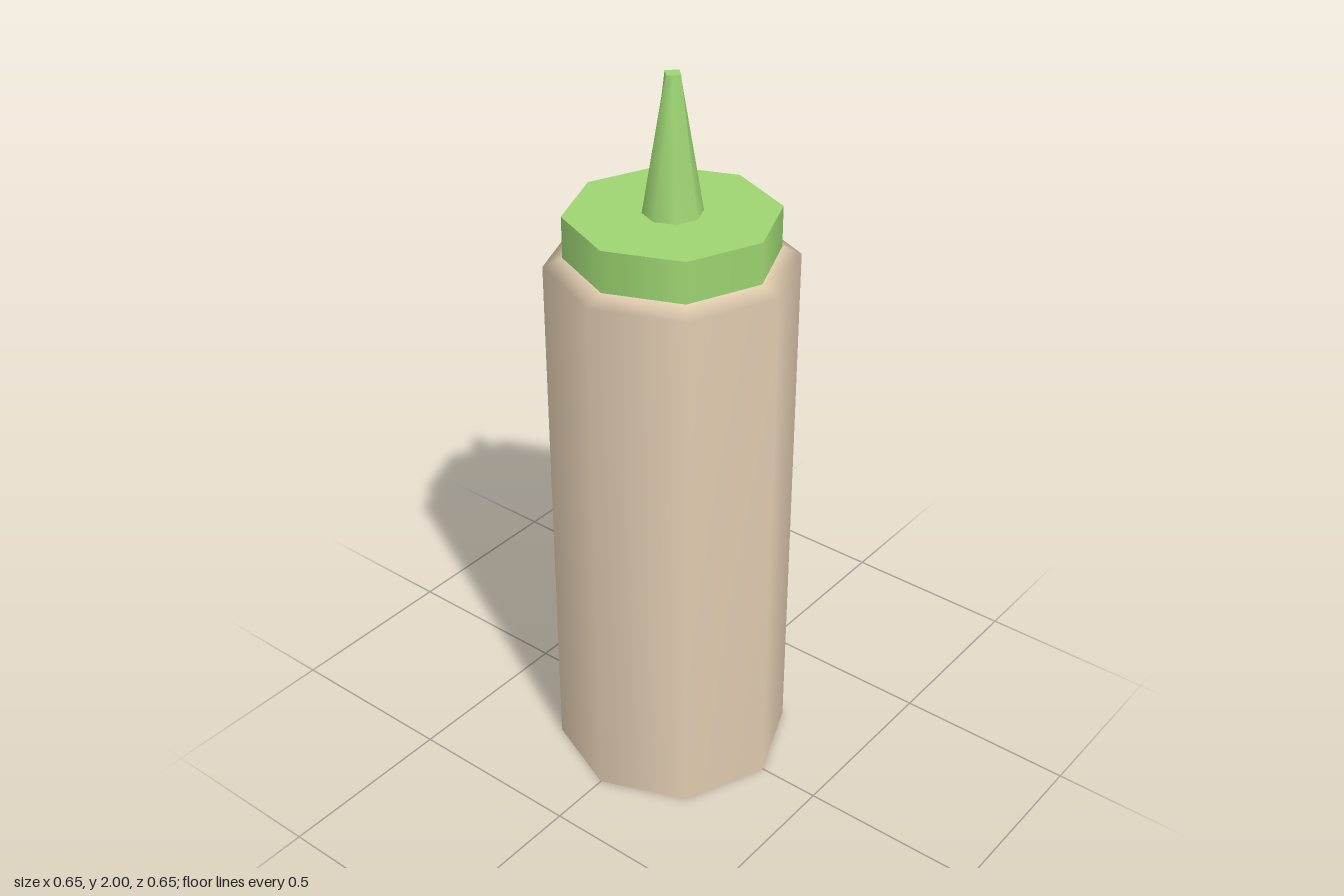
import * as THREE from 'three';

export function createModel() {
  const SIDES = 8;
  const model = new THREE.Group();
  const cream = new THREE.MeshStandardMaterial({ color: 0xe0cbb0 });
  cream.name = 'cream plastic';
  const green = new THREE.MeshStandardMaterial({ color: 0x9dd572 });
  green.name = 'green plastic';

  const add = (name, geometry, material, y = 0) => {
    const mesh = new THREE.Mesh(geometry, material);
    mesh.name = name;
    mesh.position.y = y;
    model.add(mesh);
    return mesh;
  };

  // Octagonal bottle wall with a short sloping shoulder, softly shaded
  const profile = [[0.325, 0], [0.325, 1.508], [0.275, 1.53]].map(p => new THREE.Vector2(...p));
  add('bottleBody', new THREE.LatheGeometry(profile, SIDES), cream);

  // Flat base
  const base = new THREE.CircleGeometry(0.325, SIDES);
  base.rotateX(Math.PI / 2);
  add('bottleBase', base, cream);

  // Screw cap
  add('cap', new THREE.CylinderGeometry(0.275, 0.275, 0.112, SIDES), green, 1.586);

  // Tapered nozzle: octagonal foot narrowing to a square tip
  const height = 0.358;
  const nozzle = new THREE.CylinderGeometry(0.025, 0.077, height, SIDES);
  const pos = nozzle.attributes.position;
  for (let i = 0; i < pos.count; i++) {
    const x = pos.getX(i), z = pos.getZ(i);
    const onDiagonal = Math.abs(x) > 0.005 && Math.abs(z) > 0.005;
    if (pos.getY(i) > 0 && onDiagonal) {
      // pull diagonal corners onto the edges of the square
      pos.setX(i, Math.sign(x) * 0.0125);
      pos.setZ(i, Math.sign(z) * 0.0125);
    }
  }
  add('nozzle', nozzle, green, 2 - height / 2);

  return model;
}
